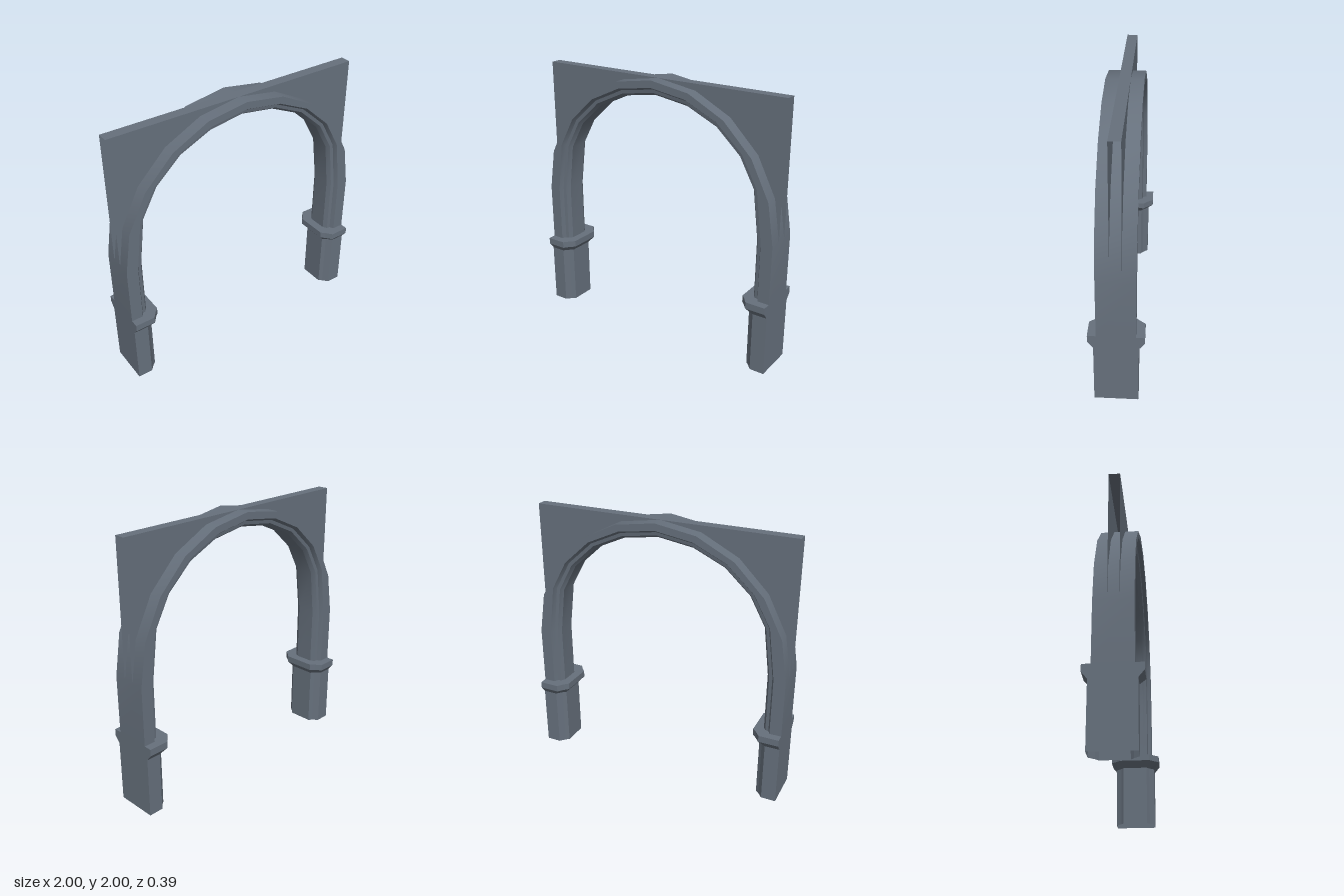
import * as THREE from 'three';
import { mergeGeometries } from 'three/addons/utils/BufferGeometryUtils.js';

const stone = new THREE.MeshStandardMaterial({ color: 0x66707c, side: THREE.DoubleSide });
stone.name = 'slate stone';

// Skin between neighbouring polylines of a closed profile: smooth along the lines, creased across them
function skin(lines, flat = false) {
  const strips = lines.map((a, k) => {
    const b = lines[(k + 1) % lines.length];
    const n = a.length;
    const index = [];
    for (let i = 0; i < n - 1; i++) index.push(i, i + 1, n + i, i + 1, n + i + 1, n + i);
    let g = new THREE.BufferGeometry();
    g.setAttribute('position', new THREE.Float32BufferAttribute([...a, ...b].flat(), 3));
    g.setIndex(index);
    if (flat) g = g.toNonIndexed();
    g.computeVertexNormals();
    return g;
  });
  return mergeGeometries(strips);
}

function add(group, name, geometry) {
  const mesh = new THREE.Mesh(geometry, stone);
  mesh.name = name;
  group.add(mesh);
  return mesh;
}

// Mirrors a right-hand half profile in z
const mirrorZ = half => [...half, ...half.map(([x, z]) => [x, -z]).reverse()];

export function createModel() {
  const model = new THREE.Group();
  model.name = 'archway';

  // Outer and inner curves, from the right springing to the crown
  const outerArc = [];
  for (let i = 0; i <= 5; i++) {
    const a = i * Math.PI / 10;
    outerArc.push([Math.cos(a), 1 + Math.sin(a)]);
  }
  const innerArc = [[0.85, 1], [0.805, 1.355], [0.69, 1.565], [0.5, 1.738], [0.265, 1.845], [0, 1.885]];
  const innerOffset = d => innerArc.map(([x, y]) => {
    const r = Math.hypot(x, y - 1);
    return [x + d * x / r, y + d * (y - 1) / r];
  });
  const fullPath = (arc, z) => {
    const half = [[arc[0][0], 0.56], ...arc];
    const left = half.slice(0, -1).reverse().map(([x, y]) => [-x, y]);
    return [...half, ...left].map(([x, y]) => [x, y, z]);
  };

  // Moulded arch with its straight legs
  const moulding = [
    [outerArc, 0.135],
    [innerOffset(0.062), 0.135],
    [innerOffset(0.045), 0.105],
    [innerOffset(0.02), 0.1],
    [innerOffset(0), 0.07],
  ];
  add(model, 'mouldedArch', skin(mirrorZ(moulding).map(([arc, z]) => fullPath(arc, z))));

  // Piers, open underneath, with a flared impost on top
  const shaft = mirrorZ([[1, 0.155], [0.89, 0.155], [0.855, 0.115], [0.83, 0.095]]);
  const impost = mirrorZ([[1, 0.195], [0.85, 0.195], [0.815, 0.15], [0.785, 0.12]]);
  for (const side of ['left', 'right']) {
    const pier = new THREE.Group();
    pier.name = side + 'Pier';
    add(pier, 'shaft', skin(shaft.map(([x, z]) => [[x, 0, z], [x, 0.46, z]]), true));
    add(pier, 'impost', skin(impost.map(([x, z], k) => [
      [shaft[k][0], 0.46, shaft[k][1]], [x, 0.51, z], [x, 0.56, z],
    ]), true));
    const top = new THREE.ShapeGeometry(new THREE.Shape(impost.map(([x, z]) => new THREE.Vector2(x, -z))));
    add(pier, 'impostTop', top.rotateX(-Math.PI / 2).translate(0, 0.56, 0));
    if (side === 'right') pier.rotation.y = Math.PI;
    model.add(pier);
  }

  // Spandrel panels on both faces, open at the ends
  const corner = [[1, 2], [0, 2], ...outerArc.slice(0, 5).reverse()];
  for (const s of [1, -1]) {
    for (const face of ['front', 'back']) {
      const shape = new THREE.Shape(corner.map(([x, y]) => new THREE.Vector2(s * x, y)));
      const panel = new THREE.ShapeGeometry(shape).translate(0, 0, 0.04);
      if (face === 'back') panel.rotateY(Math.PI);
      add(model, face + 'Spandrel', panel);
    }
  }
  add(model, 'topStrip', new THREE.PlaneGeometry(2, 0.08).rotateX(-Math.PI / 2).translate(0, 2, 0));

  return model;
}
